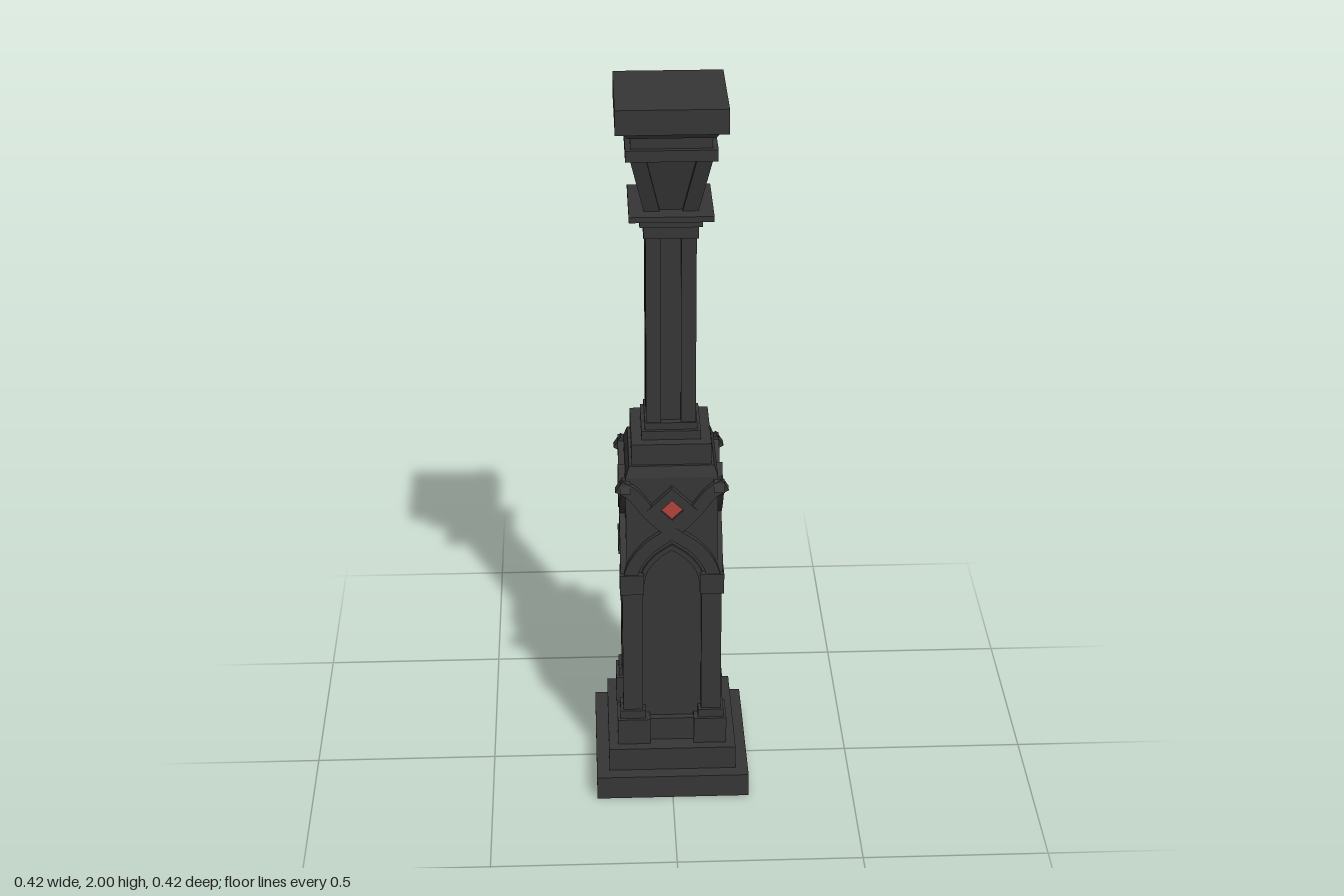
import * as THREE from 'three';

const iron = new THREE.MeshStandardMaterial({ color: 0x363636 });
iron.name = 'dark iron';
const red = new THREE.MeshStandardMaterial({ color: 0xb5423e });
red.name = 'red gem';

function add(parent, name, geometry, material = iron) {
  const mesh = new THREE.Mesh(geometry, material);
  mesh.name = name;
  parent.add(mesh);
  return mesh;
}

// Square block or frustum between two heights, given half widths
function tier(parent, name, y0, y1, half0, half1 = half0) {
  const g = new THREE.CylinderGeometry(half1 * Math.SQRT2, half0 * Math.SQRT2, y1 - y0, 4)
    .rotateY(Math.PI / 4).translate(0, (y0 + y1) / 2, 0).toNonIndexed();
  g.computeVertexNormals();
  return add(parent, name, g);
}

// Four mirrored square posts between an inner and an outer coordinate
function cornerPosts(parent, name, y0, y1, inner, outer) {
  for (const sx of [-1, 1]) for (const sz of [-1, 1]) {
    const w = outer - inner, c = (inner + outer) / 2;
    add(parent, name, new THREE.BoxGeometry(w, y1 - y0, w).translate(sx * c, (y0 + y1) / 2, sz * c));
  }
}

function plate(shape, z0, z1) {
  return new THREE.ExtrudeGeometry(shape, { depth: z1 - z0, bevelEnabled: false, curveSegments: 8 })
    .translate(0, 0, z0);
}

// Flat band of constant width following a curve through the given points
function band(points, width, z0, z1, mirror) {
  const curve = new THREE.CatmullRomCurve3(points.map(([x, y]) => new THREE.Vector3(x * mirror, y, 0)));
  const left = [], right = [], n = 22;
  for (let i = 0; i <= n; i++) {
    const p = curve.getPoint(i / n), t = curve.getTangent(i / n);
    const dx = -t.y * width / 2, dy = t.x * width / 2;
    left.push(new THREE.Vector2(p.x + dx, p.y + dy));
    right.unshift(new THREE.Vector2(p.x - dx, p.y - dy));
  }
  return plate(new THREE.Shape([...left, ...right]), z0, z1);
}

function diamond(half) {
  return [[0, half], [-half, 0], [0, -half], [half, 0]].map(([x, y]) => new THREE.Vector2(x, y + 0.88));
}

// Tracery that repeats on all four sides
function createFace() {
  const face = new THREE.Group();
  face.name = 'faceTracery';

  // Wall above the pointed arch
  const wall = new THREE.Shape();
  wall.moveTo(-0.122, 0.64);
  wall.lineTo(-0.08, 0.64);
  wall.quadraticCurveTo(-0.07, 0.71, 0, 0.755);
  wall.quadraticCurveTo(0.07, 0.71, 0.08, 0.64);
  wall.lineTo(0.122, 0.64);
  wall.lineTo(0.122, 0.97);
  wall.lineTo(-0.122, 0.97);
  add(face, 'archWall', plate(wall, 0.1, 0.122));

  // Interlaced bands running from one upper corner to the opposite lower one
  const path = [[-0.14, 0.952], [-0.105, 0.93], [-0.058, 0.868], [0, 0.81],
    [0.06, 0.765], [0.1, 0.71], [0.12, 0.64]];
  for (const m of [-1, 1]) {
    add(face, 'interlacedBand', band(path, 0.036, 0.11, m > 0 ? 0.138 : 0.137, m));
    add(face, 'archMoulding',
      band([[-0.083, 0.64], [-0.07, 0.69], [-0.04, 0.73], [0.003, 0.762]], 0.014, 0.11, 0.128, m));
  }

  // Diamond frame with a red stone
  const frame = new THREE.Shape(diamond(0.066));
  frame.holes.push(new THREE.Path(diamond(0.03).reverse()));
  add(face, 'diamondFrame', plate(frame, 0.11, 0.14));
  add(face, 'gem', plate(new THREE.Shape(diamond(0.031)), 0.124, 0.132), red);
  return face;
}

export function createModel() {
  const model = new THREE.Group();
  model.name = 'ornatePost';

  // Stepped base
  tier(model, 'baseSlab', 0, 0.07, 0.21);
  tier(model, 'baseStep', 0.07, 0.14, 0.175);
  tier(model, 'basePlinth', 0.14, 0.21, 0.13);
  cornerPosts(model, 'cornerFoot', 0.14, 0.22, 0.06, 0.15);
  cornerPosts(model, 'cornerFootTrim', 0.22, 0.245, 0.072, 0.142);

  // Pedestal with corner posts
  tier(model, 'pedestalCore', 0.14, 0.97, 0.112);
  cornerPosts(model, 'cornerPost', 0.245, 0.66, 0.08, 0.134);
  cornerPosts(model, 'cornerPostCap', 0.62, 0.68, 0.075, 0.14);
  for (let i = 0; i < 4; i++) {
    const face = createFace();
    face.rotation.y = i * Math.PI / 2;
    model.add(face);
  }
  tier(model, 'pedestalShoulder', 0.97, 1.0, 0.122, 0.112);
  tier(model, 'pedestalCap', 1.0, 1.06, 0.105);

  // Shaft with a groove on every side
  tier(model, 'shaftFoot', 1.06, 1.085, 0.078);
  tier(model, 'shaftFootTrim', 1.085, 1.105, 0.069);
  tier(model, 'shaftCore', 1.06, 1.66, 0.05);
  cornerPosts(model, 'shaftCornerRib', 1.1, 1.63, 0.026, 0.065);
  tier(model, 'shaftNeck', 1.63, 1.665, 0.07);
  tier(model, 'shaftNeckTrim', 1.665, 1.69, 0.08);
  tier(model, 'shaftCollar', 1.69, 1.705, 0.107);

  // Flared capital with ribs leaning outward at the corners
  tier(model, 'capitalCore', 1.705, 1.86, 0.058, 0.088);
  for (const sx of [-1, 1]) for (const sz of [-1, 1]) {
    const rib = new THREE.BoxGeometry(0.04, 0.155, 0.04);
    const p = rib.attributes.position;
    for (let i = 0; i < p.count; i++) {
      const shift = p.getY(i) > 0 ? 0.084 : 0.049;
      p.setX(i, p.getX(i) + sx * shift);
      p.setZ(i, p.getZ(i) + sz * shift);
    }
    rib.translate(0, 1.7825, 0).computeVertexNormals();
    add(model, 'capitalRib', rib);
  }
  tier(model, 'capitalBand', 1.855, 1.885, 0.115);
  tier(model, 'capitalNeck', 1.885, 1.915, 0.102);
  tier(model, 'capitalTrim', 1.915, 1.935, 0.11, 0.122);
  tier(model, 'topSlab', 1.935, 2.0, 0.14);
  return model;
}
